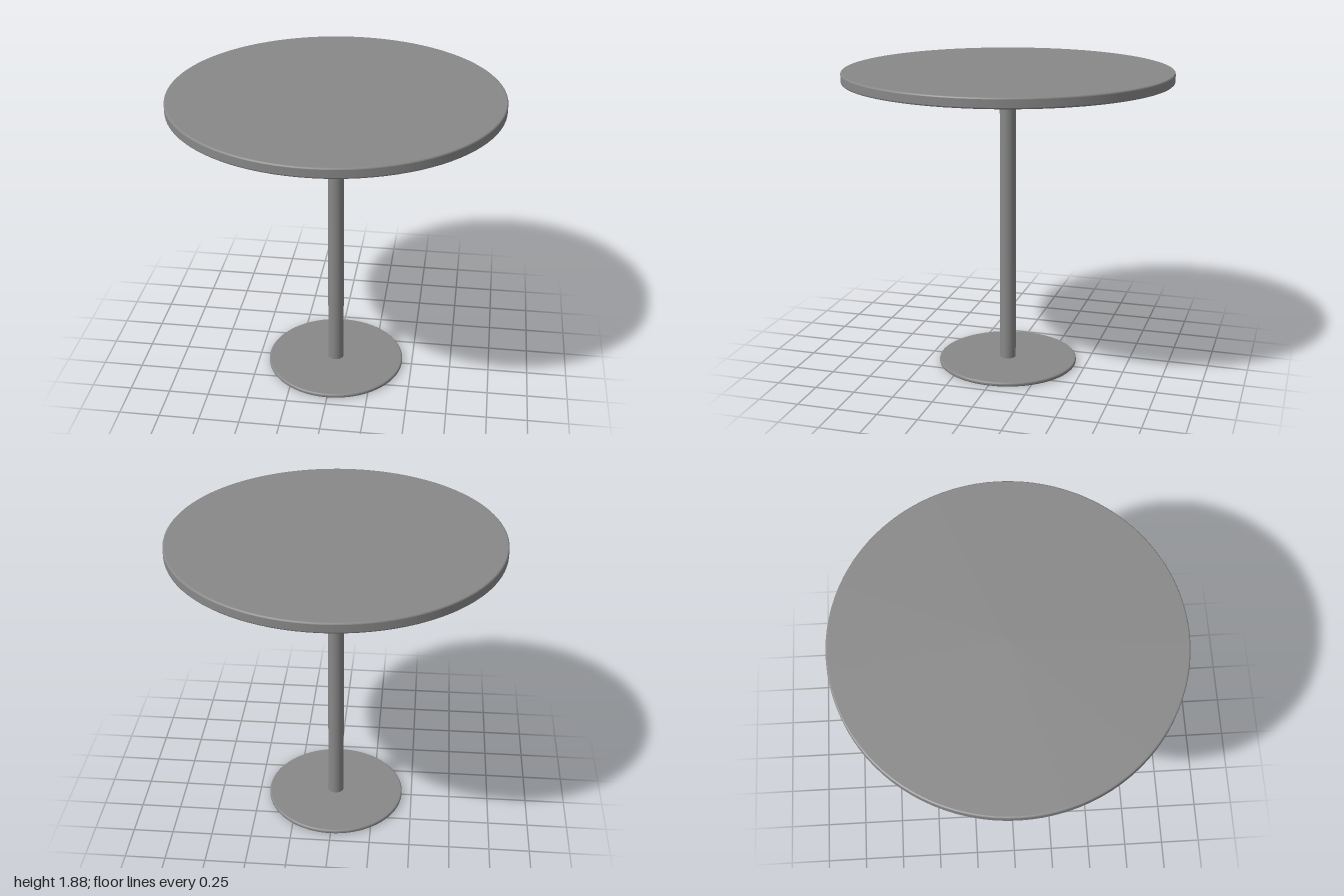
import * as THREE from 'three';

const material = new THREE.MeshStandardMaterial({ color: 0x888888 });

// Solid round plate with softly rounded rims
function roundPlate(name, radius, bottom, top, bevel) {
  const profile = [new THREE.Vector2(0, bottom)];
  const addRim = (y, start) => {
    // The arc's end points are doubled so the flat faces and side wall shade flat
    for (const t of [0, 0, 1 / 3, 2 / 3, 1, 1]) {
      const a = start + t * (Math.PI / 2);
      profile.push(new THREE.Vector2(radius - bevel + Math.cos(a) * bevel, y + Math.sin(a) * bevel));
    }
  };
  addRim(bottom + bevel, -Math.PI / 2);
  addRim(top - bevel, 0);
  profile.push(new THREE.Vector2(0, top));
  const mesh = new THREE.Mesh(new THREE.LatheGeometry(profile, 96), material);
  mesh.name = name;
  return mesh;
}

export function createModel() {
  const table = new THREE.Group();
  table.name = 'pedestalTable';

  // Round top and smaller floor plate
  table.add(roundPlate('tableTop', 1, 1.815, 1.877, 0.009));
  table.add(roundPlate('basePlate', 0.437, 0, 0.026, 0.009));

  // Central column, running from the base plate to the underside of the top
  const bottom = 0.02, top = 1.82;
  const column = new THREE.Mesh(new THREE.CylinderGeometry(0.05, 0.05, top - bottom, 48), material);
  column.name = 'column';
  column.position.y = (bottom + top) / 2;
  table.add(column);

  return table;
}
